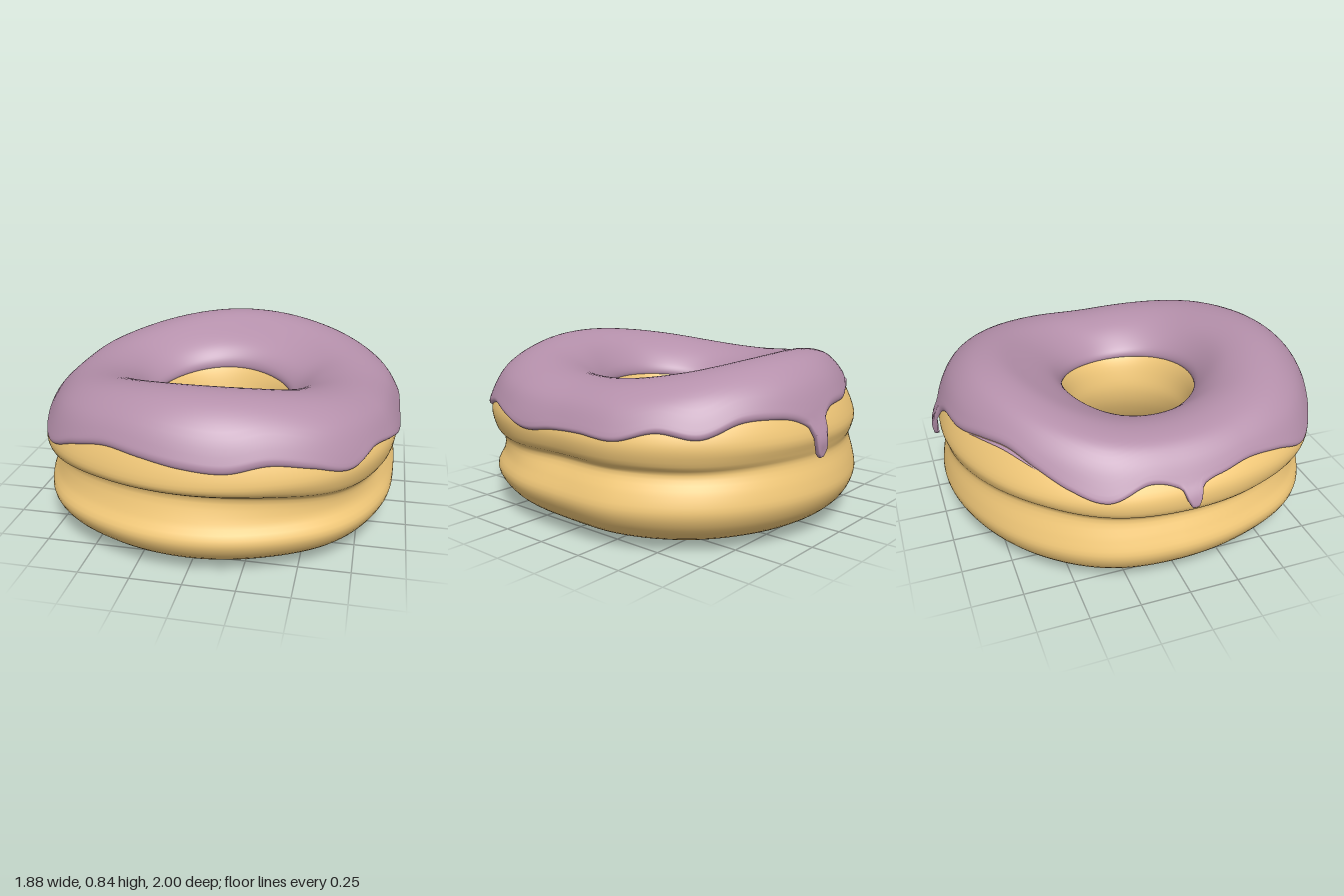
import * as THREE from 'three';

const TAU = Math.PI * 2, AROUND = 360;

// smooth periodic lookup of evenly spaced values around the ring (angle 0 = +x, 90 degrees = +z)
function around(values) {
  const n = values.length;
  return (a) => {
    const f = (((a / TAU) % 1) + 1) % 1 * n, i = Math.floor(f), t = f - i;
    const [p, q, r, s] = [-1, 0, 1, 2].map((k) => values[(i + k + n) % n]);
    return q + 0.5 * t * (r - p + t * (2 * p - 5 * q + 4 * r - s + t * (3 * (q - r) + s - p)));
  };
}

const outerRadius = around([0.92, 0.96, 1.005, 1.0, 1.003, 1.0, 1.0, 0.945,
  0.92, 0.94, 0.94, 0.945, 0.965, 0.98, 0.99, 0.965]);
// how far the glazed shoulder is drawn in
const shoulderScale = around([1, 1, 1, 1, 1, 1, 0.992, 0.98,
  0.968, 0.968, 0.972, 0.975, 0.988, 1, 1, 1]);
// height and relative radius of the crease between the two bulges
const creaseHeight = around([0.37, 0.36, 0.365, 0.39, 0.4, 0.4, 0.39, 0.37,
  0.37, 0.385, 0.4, 0.395, 0.385, 0.38, 0.37, 0.37]);
const creaseRadius = around([0.925, 0.94, 0.9, 0.92, 0.93, 0.95, 0.968, 0.95]);
// height of the wavy outer glaze edge, every 11.25 degrees
const glazeEdge = around([0.52, 0.495, 0.53, 0.555, 0.51, 0.555, 0.585, 0.56,
  0.575, 0.6, 0.612, 0.57, 0.515, 0.565, 0.585, 0.56,
  0.55, 0.57, 0.51, 0.55, 0.61, 0.655, 0.645, 0.615,
  0.61, 0.57, 0.6, 0.60, 0.54, 0.565, 0.52, 0.53]);

// hanging drips: angle in degrees and depth below the edge
const drips = [[279.5, 0.17], [178, 0.1]];
function dripDepth(a) {
  let depth = 0;
  for (const [deg, d] of drips) {
    const off = Math.abs(a - THREE.MathUtils.degToRad(deg));
    depth += d * (0.75 * Math.exp(-((off / 0.042) ** 4)) + 0.25 * Math.exp(-((off / 0.08) ** 2)));
  }
  return depth;
}

// closed dough cross-section (radius, height) at an angle
function section(a) {
  const R = outerRadius(a), U = R * shoulderScale(a), S = Math.sin(a), H = 0.312 + 0.043 * S;
  const crest = 0.822 - 0.11 * Math.cos(a) ** 2;
  const low = R * (1 - 0.03 * Math.max(0, S)), wy = creaseHeight(a), base = 0.012 * S * S;
  const side = low * (0.968 - (S > 0 ? 0.01 : 0.025) * S);
  const up = (k) => 0.5 + (crest - 0.5) * k;
  const pts = [
    [0.69 * R, base], [0.83 * low, 0.03], [0.945 * low, 0.1], [low, 0.195], [side, 0.285],
    [creaseRadius(a) * R, wy], [0.978 * R, wy + 0.05], [0.499 * (R + U), 0.505], [0.966 * U, up(0.38)], [0.905 * U, up(0.72)],
    [0.8 * R, up(0.95)], [0.68 * R, crest], [0.56 * R, up(0.88)], [H + 0.115, up(0.63)],
    [H + 0.045, up(0.3)], [H + 0.01, 0.465], [H, 0.36], [H + 0.03, 0.24], [H + 0.11, 0.1], [H + 0.23, 0.02],
  ];
  const curve = new THREE.CatmullRomCurve3(pts.map(([r, y]) => new THREE.Vector3(r, y, 0)), true, 'catmullrom', 0.5);
  return { curve, n: pts.length, R, U, rim: up(0.3) };
}

// parameter at which the section passes a height, searched between two control points
function crossing(sec, from, to, y) {
  let lo = from / sec.n, hi = to / sec.n;
  const rising = sec.curve.getPoint(hi).y > sec.curve.getPoint(lo).y;
  for (let i = 0; i < 24; i++) {
    const mid = (lo + hi) / 2;
    if ((sec.curve.getPoint(mid).y < y) === rising) lo = mid; else hi = mid;
  }
  return lo;
}

// skin a loop of cross-sections
function loft(ringAt, closed) {
  const pos = [], idx = [];
  let m = 0;
  for (let i = 0; i < AROUND; i++) {
    const a = (i / AROUND) * TAU, ring = ringAt(a);
    m = ring.length;
    for (const p of ring) pos.push(p.x * Math.cos(a), p.y, p.x * Math.sin(a));
  }
  for (let i = 0; i < AROUND; i++) {
    const k = (i + 1) % AROUND;
    for (let j = 0; j < (closed ? m : m - 1); j++) {
      const l = (j + 1) % m;
      idx.push(i * m + j, i * m + l, k * m + j, i * m + l, k * m + l, k * m + j);
    }
  }
  const g = new THREE.BufferGeometry();
  g.setAttribute('position', new THREE.Float32BufferAttribute(pos, 3));
  g.setIndex(idx);
  g.computeVertexNormals();
  return g;
}

function doughRing(a) {
  const { curve } = section(a);
  return Array.from({ length: 80 }, (_, j) => curve.getPoint(j / 80));
}

// glaze follows the dough from the wavy edge over the crest into the hole, with rounded lips
function glazeRing(a) {
  const sec = section(a), EDGE = 16, TOP = 36, ring = [];
  const edge = glazeEdge(a), depth = dripDepth(a);
  const t0 = crossing(sec, 5, 11, edge - depth);
  const t1 = crossing(sec, 7, 11, edge + 0.04);
  const t2 = crossing(sec, 11, 16, sec.rim);
  for (let j = 0; j <= EDGE + TOP; j++) {
    const u = (j - EDGE) / TOP;
    const t = j < EDGE ? t0 + (t1 - t0) * (j / EDGE) ** 1.6 : t1 + (t2 - t1) * Math.sin((u * Math.PI) / 2);
    const lip = Math.min(1, (t - t0) / 0.014, (t2 - t) / 0.025);
    const off = -0.006 + 0.024 * Math.sqrt(1 - (1 - lip) ** 2);
    const p = sec.curve.getPoint(t);
    // drips hang straight and lean outward instead of following the crease
    const hang = p.x > 0.8 * sec.R ? Math.min(depth, Math.max(0, edge - p.y)) : 0;
    if (hang > 0) p.x = Math.max(p.x, 0.97 * sec.U) + 0.25 * hang;
    const out = new THREE.Vector3(p.x - 0.67 * sec.R, p.y - 0.5, 0).normalize();
    ring.push(p.addScaledVector(out, off));
  }
  return ring;
}

export function createModel() {
  const group = new THREE.Group();
  const add = (name, geometry, material) => {
    const mesh = new THREE.Mesh(geometry, material);
    mesh.name = name;
    group.add(mesh);
  };
  add('doughRing', loft(doughRing, true), new THREE.MeshStandardMaterial({ color: 0xf6cc7b }));
  add('glaze', loft(glazeRing, false), new THREE.MeshStandardMaterial({ color: 0xb590ab, side: THREE.DoubleSide }));
  return group;
}
